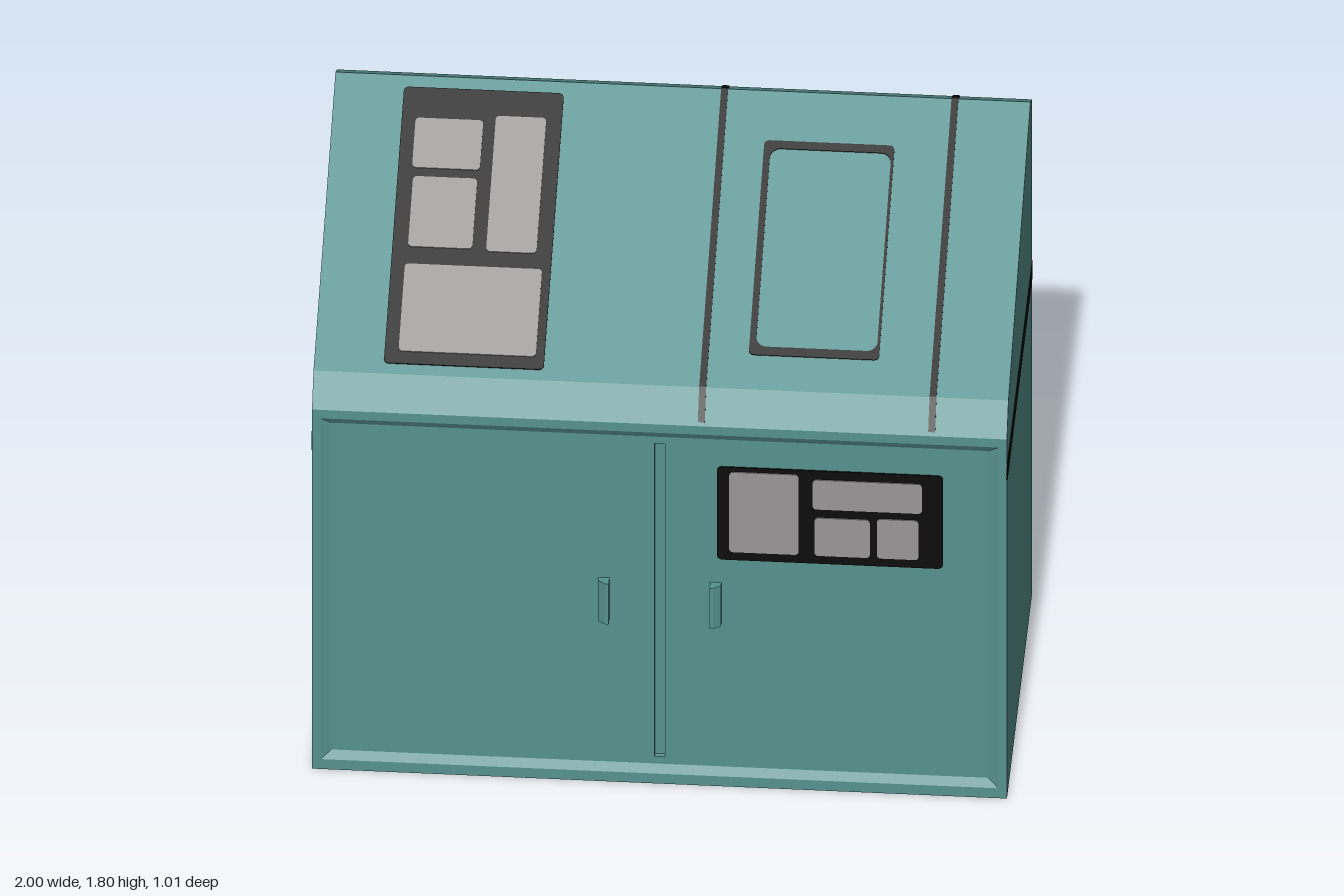
import * as THREE from 'three';

const paint = new THREE.MeshStandardMaterial({ color: 0x579390 });
paint.name = 'teal paint';
const black = new THREE.MeshStandardMaterial({ color: 0x0d0d0d });
black.name = 'black trim';
const grey = new THREE.MeshStandardMaterial({ color: 0x999696 });
grey.name = 'grey label';

function add(parent, name, geometry, material) {
  const mesh = new THREE.Mesh(geometry, material);
  mesh.name = name;
  parent.add(mesh);
  return mesh;
}

// Rectangle with rounded corners, given by its edges
function roundRect(x0, x1, y0, y1, r, Type = THREE.Shape) {
  const s = new Type();
  if (r <= 0) {
    s.moveTo(x0, y0).lineTo(x1, y0).lineTo(x1, y1).lineTo(x0, y1).closePath();
    return s;
  }
  s.absarc(x1 - r, y0 + r, r, -Math.PI / 2, 0);
  s.absarc(x1 - r, y1 - r, r, 0, Math.PI / 2);
  s.absarc(x0 + r, y1 - r, r, Math.PI / 2, Math.PI);
  s.absarc(x0 + r, y0 + r, r, Math.PI, Math.PI * 1.5);
  s.closePath();
  return s;
}

const extrude = (shape, depth) =>
  new THREE.ExtrudeGeometry(shape, { depth, bevelEnabled: false, curveSegments: 6 });

// Side profile of [z, y] points, extruded from x0 to x1
function sideExtrude(points, x0, x1) {
  const shape = new THREE.Shape(points.map(([z, y]) => new THREE.Vector2(-z, y)));
  return extrude(shape, x1 - x0).rotateY(Math.PI / 2).translate(x0, 0, 0);
}

// Sloping walls between two rectangles [x, y0, y1, z]
function recessWalls(outer, inner) {
  const corners = ([x, y0, y1, z]) => [[-x, y0, z], [x, y0, z], [x, y1, z], [-x, y1, z]];
  const a = corners(outer), b = corners(inner), pos = [];
  for (let i = 0; i < 4; i++) {
    const j = (i + 1) % 4;
    pos.push(...a[i], ...a[j], ...b[j], ...a[i], ...b[j], ...b[i]);
  }
  const g = new THREE.BufferGeometry();
  g.setAttribute('position', new THREE.Float32BufferAttribute(pos, 3));
  g.computeVertexNormals();
  return g;
}

// Black plate carrying grey rounded labels, in the local xy plane
function labelPanel(parent, name, plate, labels) {
  const panel = new THREE.Group();
  panel.name = name;
  parent.add(panel);
  add(panel, 'panelPlate', extrude(roundRect(...plate, 0.015), 0.004), black);
  labels.forEach((l) => add(panel, 'label', extrude(roundRect(...l, 0.012), 0.007), grey));
  return panel;
}

export function createModel() {
  const model = new THREE.Group();
  model.name = 'cabinet';

  // Cabinet body with sloping lid
  add(model, 'body', sideExtrude([
    [0.46, 0], [0.46, 1.28], [0.49, 1.28], [0.43, 1.375],
    [-0.44, 1.8], [-0.5, 1.765], [-0.5, 0],
  ], -1, 1), paint);

  // Front frame around the recessed doors
  const frame = roundRect(-1, 1, 0, 1.28, 0);
  frame.holes.push(roundRect(-0.975, 0.975, 0.035, 1.25, 0, THREE.Path));
  add(model, 'frontFrame', extrude(frame, 0.03).translate(0, 0, 0.46), paint);
  add(model, 'recessWalls',
    recessWalls([0.975, 0.035, 1.25, 0.49], [0.945, 0.06, 1.225, 0.475]), paint);

  // Door face with the slot between the two leaves
  const doors = roundRect(-0.96, 0.96, 0.05, 1.235, 0);
  doors.holes.push(roundRect(-0.015, 0.015, 0.085, 1.2, 0, THREE.Path));
  add(model, 'doors', extrude(doors, 0.015).translate(0, 0, 0.46), paint);

  // Wedge handles
  for (const s of [-1, 1]) {
    const wedge = [[0.145, 0.47], [0.145, 0.505], [0.155, 0.505], [0.177, 0.49], [0.177, 0.47]];
    const shape = new THREE.Shape(wedge.map(([x, z]) => new THREE.Vector2(s * x, -z)));
    add(model, s > 0 ? 'leftHandle' : 'rightHandle',
      extrude(shape, 0.145).rotateX(-Math.PI / 2).translate(0, 0.57, 0), paint);
  }

  // Label panel on the door
  labelPanel(model, 'doorPanel', [0.165, 0.815, 0.8, 1.13], [
    [0.2, 0.4, 0.83, 1.115], [0.44, 0.755, 0.995, 1.1],
    [0.445, 0.605, 0.83, 0.965], [0.625, 0.745, 0.83, 0.97],
  ]).position.z = 0.475;

  // Fittings on the sloping lid, laid out by x and z
  const lid = new THREE.Group();
  lid.name = 'lidFittings';
  lid.position.y = 1.585;
  lid.rotation.x = -Math.atan2(0.87, 0.425);
  model.add(lid);
  const onLid = ([x0, x1, z0, z1]) => [x0, x1, -z1 / 0.8985, -z0 / 0.8985];
  labelPanel(lid, 'lidPanel', onLid([-0.8, -0.34, -0.405, 0.4]), [
    [-0.76, -0.565, -0.315, -0.17], [-0.755, -0.57, -0.145, 0.06],
    [-0.53, -0.385, -0.33, 0.065], [-0.76, -0.365, 0.11, 0.365],
  ].map(onLid));
  const hatch = roundRect(...onLid([0.245, 0.62, -0.295, 0.33]), 0.015);
  hatch.holes.push(roundRect(...onLid([0.264, 0.612, -0.272, 0.305]), 0.03, THREE.Path));
  add(lid, 'hatchOutline', extrude(hatch, 0.003), black);

  // Stripes running over the lid and both bevels
  for (const x of [0.12, 0.783]) {
    add(model, 'lidStripe', sideExtrude([
      [0.4862, 1.2916], [0.4315, 1.3785], [-0.44, 1.8033], [-0.5015, 1.7676],
      [-0.49, 1.75], [-0.44, 1.78], [0.42, 1.36], [0.47, 1.285],
    ], x - 0.01, x + 0.01), black);
  }

  // Band around the sides and back
  for (const s of [-1, 1]) {
    add(model, 'sideBand', new THREE.BoxGeometry(0.004, 0.055, 0.99), black)
      .position.set(s, 1.163, -0.005);
  }
  add(model, 'backBand', new THREE.BoxGeometry(2.004, 0.055, 0.004), black)
    .position.set(0, 1.163, -0.5);

  // Two columns of vent slots on the back
  for (const [x0, x1] of [[-0.248, 0.216], [-0.744, -0.288]]) {
    for (let i = 0; i < 6; i++) {
      const y = 0.31 + i * 0.104;
      add(model, 'ventSlot',
        extrude(roundRect(x0, x1, y - 0.026, y + 0.026, 0.025), 0.004).translate(0, 0, -0.503), black);
    }
  }
  return model;
}
